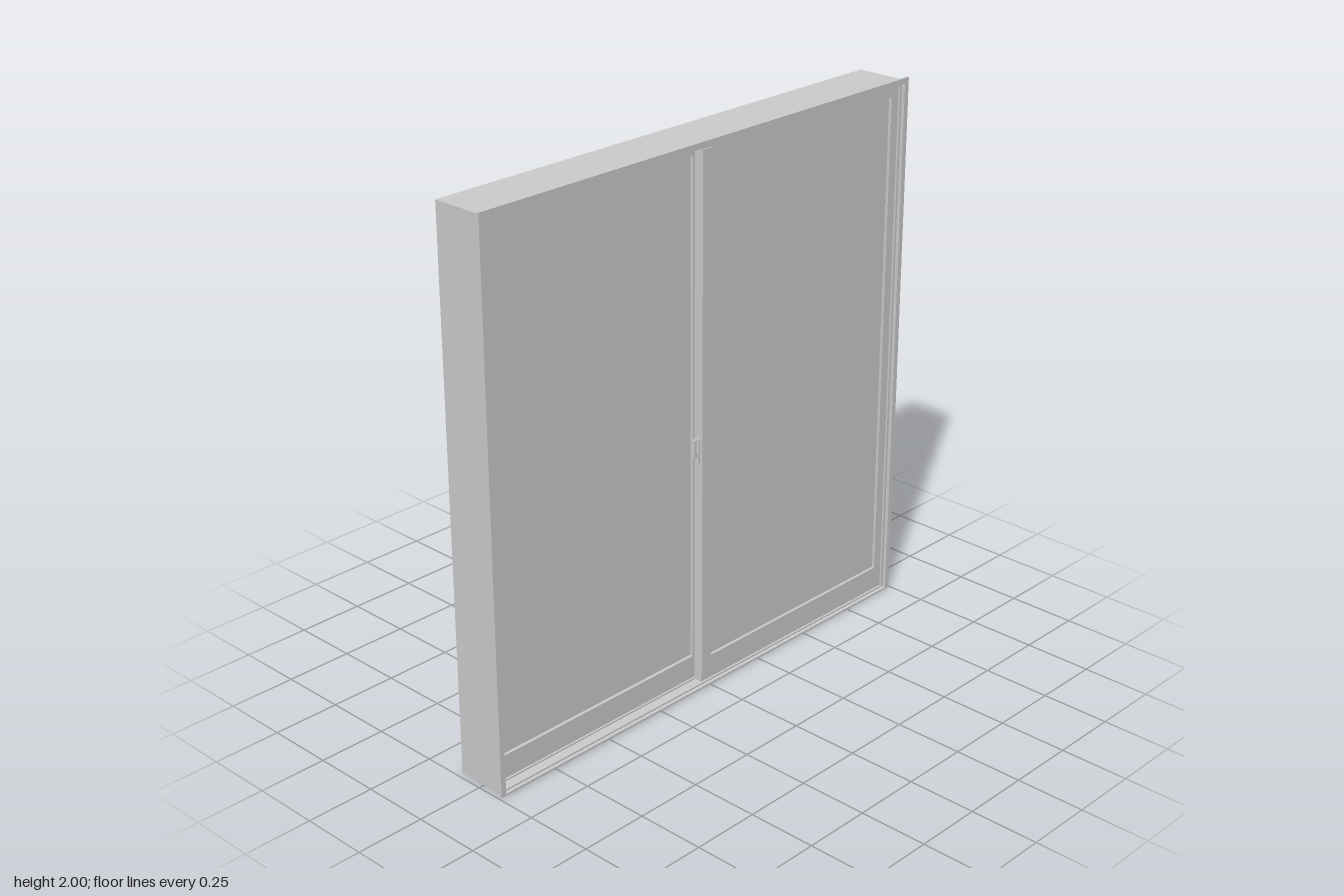
import * as THREE from 'three';

const grey = new THREE.MeshStandardMaterial({ color: 0xcccccc, flatShading: true });

function rect(path, x0, y0, x1, y1) {
  path.moveTo(x0, y0);
  path.lineTo(x1, y0);
  path.lineTo(x1, y1);
  path.lineTo(x0, y1);
  path.closePath();
  return path;
}

function add(group, name, geometry) {
  const mesh = new THREE.Mesh(geometry, grey);
  mesh.name = name;
  group.add(mesh);
}

// Rectangular ring between an outer and an inner rectangle, from z0 to z1
function ring(group, name, outer, inner, z0, z1) {
  const shape = rect(new THREE.Shape(), ...outer);
  shape.holes.push(rect(new THREE.Path(), ...inner));
  const geometry = new THREE.ExtrudeGeometry(shape, { depth: z1 - z0, bevelEnabled: false });
  add(group, name, geometry.translate(0, 0, z0));
}

function box(group, name, x0, x1, y0, y1, z0, z1) {
  const geometry = new THREE.BoxGeometry(x1 - x0, y1 - y0, z1 - z0);
  add(group, name, geometry.translate((x0 + x1) / 2, (y0 + y1) / 2, (z0 + z1) / 2));
}

// Sash ring with a recessed pane
function panel(name, outer, opening, z0, z1) {
  const group = new THREE.Group();
  group.name = name;
  ring(group, 'sash', outer, opening, z0, z1);
  const mid = (z0 + z1) / 2;
  box(group, 'pane', opening[0], opening[2], opening[1], opening[3], mid - 0.005, mid + 0.005);
  return group;
}

export function createModel() {
  const model = new THREE.Group();
  model.name = 'slidingDoor';

  // Outer frame: thin casing, front flange and track ribs
  const frame = new THREE.Group();
  frame.name = 'frame';
  const casing = [-0.98, 0.001, 0.98, 1.99];
  ring(frame, 'casing', casing, [-0.972, 0.008, 0.972, 1.981], -0.105, 0.09);
  ring(frame, 'frontFlange', [-0.992, 0, 0.992, 2], [-0.972, 0.008, 0.972, 1.981], 0.09, 0.1);
  for (const z of [-0.105, -0.056, -0.007, 0.037, 0.08]) {
    ring(frame, 'trackRib', [-0.975, 0.004, 0.975, 1.985], [-0.962, 0.014, 0.962, 1.972], z, z + 0.007);
  }
  model.add(frame);

  // Two overlapping door leaves, one behind the other
  model.add(panel('rearLeaf', [-0.966, 0.012, 0.024, 1.976], [-0.93, 0.1, -0.025, 1.935], 0.002, 0.036));
  model.add(panel('frontLeaf', [-0.026, 0.012, 0.966, 1.976], [0.022, 0.1, 0.93, 1.935], 0.045, 0.077));

  // Meeting stile covers on the front and back
  box(model, 'frontMeetingStile', -0.026, 0.022, 0.04, 1.965, 0.076, 0.081);
  box(model, 'rearMeetingStile', -0.025, 0.024, 0.04, 1.965, -0.002, 0.003);

  // Small latch on the edge of the front leaf
  const latch = new THREE.Group();
  latch.name = 'latch';
  box(latch, 'latchPlate', -0.032, -0.026, 0.86, 0.95, 0.05, 0.07);
  box(latch, 'latchLever', -0.048, -0.04, 0.885, 0.95, 0.054, 0.066);
  box(latch, 'latchNeck', -0.042, -0.031, 0.885, 0.9, 0.054, 0.066);
  model.add(latch);

  return model;
}
